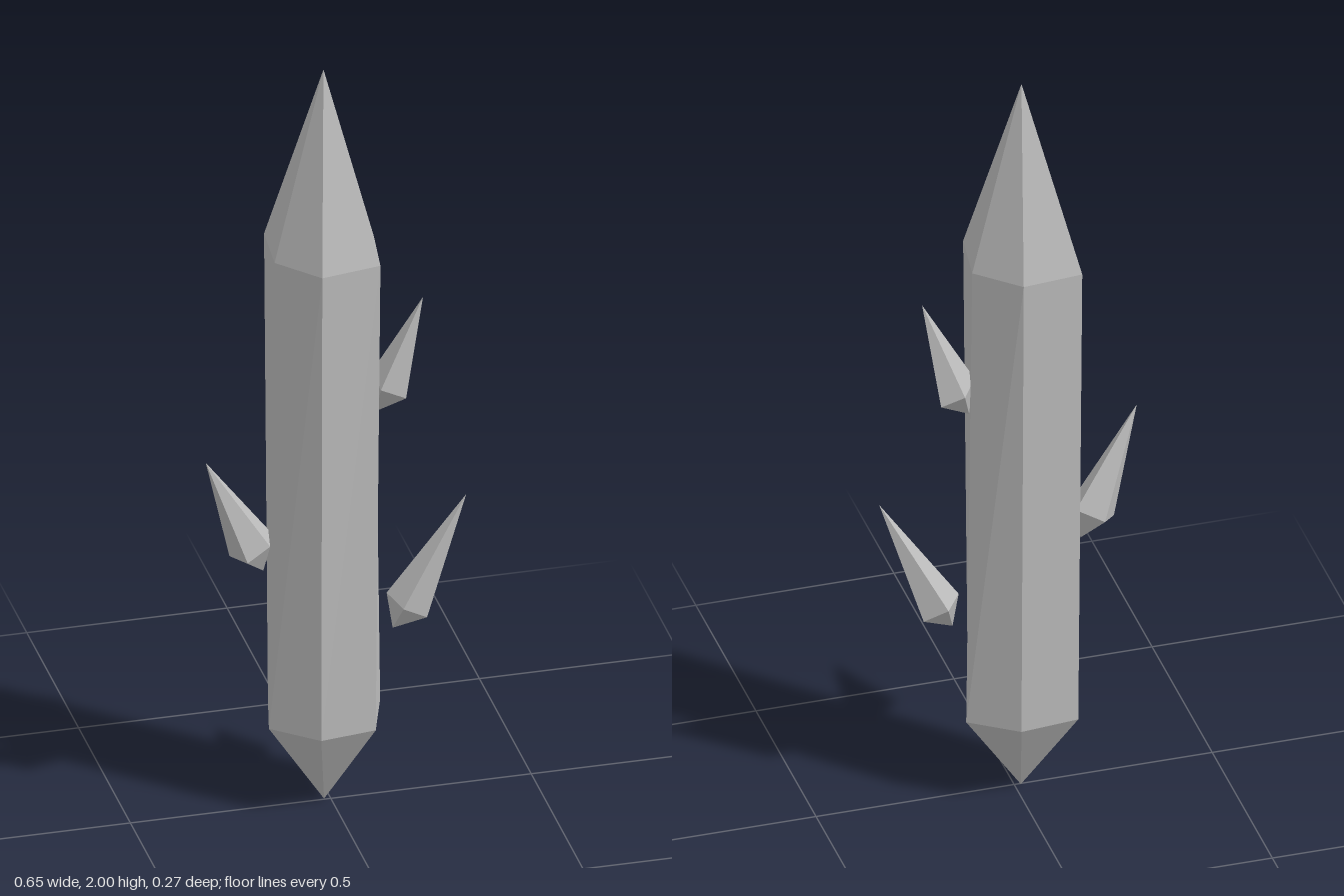
import * as THREE from 'three';

// Closed faceted crystal: base point, rings of points (anticlockwise from above), tip point
function crystalGeometry(base, rings, tip) {
  const pos = [];
  const tri = (a, b, c) => pos.push(...a, ...b, ...c);
  const n = rings[0].length;
  const top = rings[rings.length - 1];
  for (let i = 0; i < n; i++) {
    const j = (i + 1) % n;
    tri(base, rings[0][j], rings[0][i]);
    for (let r = 0; r < rings.length - 1; r++) {
      const lo = rings[r], hi = rings[r + 1];
      tri(lo[i], lo[j], hi[j]);
      tri(lo[i], hi[j], hi[i]);
    }
    tri(top[i], top[j], tip);
  }
  const g = new THREE.BufferGeometry();
  g.setAttribute('position', new THREE.Float32BufferAttribute(pos, 3));
  g.computeVertexNormals();
  return g;
}

const level = (y, points) => points.map(([x, z]) => [x, y, z]);

export function createModel() {
  const model = new THREE.Group();
  model.name = 'crystal';
  const stone = new THREE.MeshStandardMaterial({ color: 0xbcbcbc, flatShading: true });
  stone.name = 'grey crystal';

  const add = (name, base, rings, tip) => {
    const mesh = new THREE.Mesh(crystalGeometry(base, rings, tip), stone);
    mesh.name = name;
    model.add(mesh);
  };

  // Six-sided main shaft, pointed at both ends
  add('mainShaft', [-0.016, 0, -0.003], [
    level(0.23, [[-0.056, 0.125], [0.085, 0.105], [0.135, -0.046], [0.02, -0.127], [-0.128, -0.112], [-0.163, 0.033]]),
    level(1.505, [[-0.056, 0.135], [0.096, 0.108], [0.118, -0.04], [0.017, -0.136], [-0.135, -0.122], [-0.148, 0.03]]),
  ], [-0.017, 2, -0.005]);

  // Five-sided side crystals leaning outwards
  add('lowerLeftSpike', [0.147, 0.463, 0.028], [[
    [0.23, 0.51, -0.006], [0.174, 0.543, -0.028], [0.134, 0.557, 0.02],
    [0.16, 0.54, 0.083], [0.22, 0.508, 0.078],
  ]], [0.323, 0.822, 0.058]);

  add('upperLeftSpike', [0.106, 1.062, 0.026], [[
    [0.186, 1.114, -0.006], [0.13, 1.14, -0.021], [0.094, 1.165, 0.02],
    [0.103, 1.15, 0.085], [0.168, 1.115, 0.077],
  ]], [0.216, 1.375, 0.054]);

  add('rightSpike', [-0.174, 0.66, 0.022], [[
    [-0.219, 0.73, -0.035], [-0.258, 0.71, 0.02], [-0.228, 0.717, 0.08],
    [-0.168, 0.747, 0.065], [-0.155, 0.757, -0.004],
  ]], [-0.326, 0.993, 0.054]);

  return model;
}
